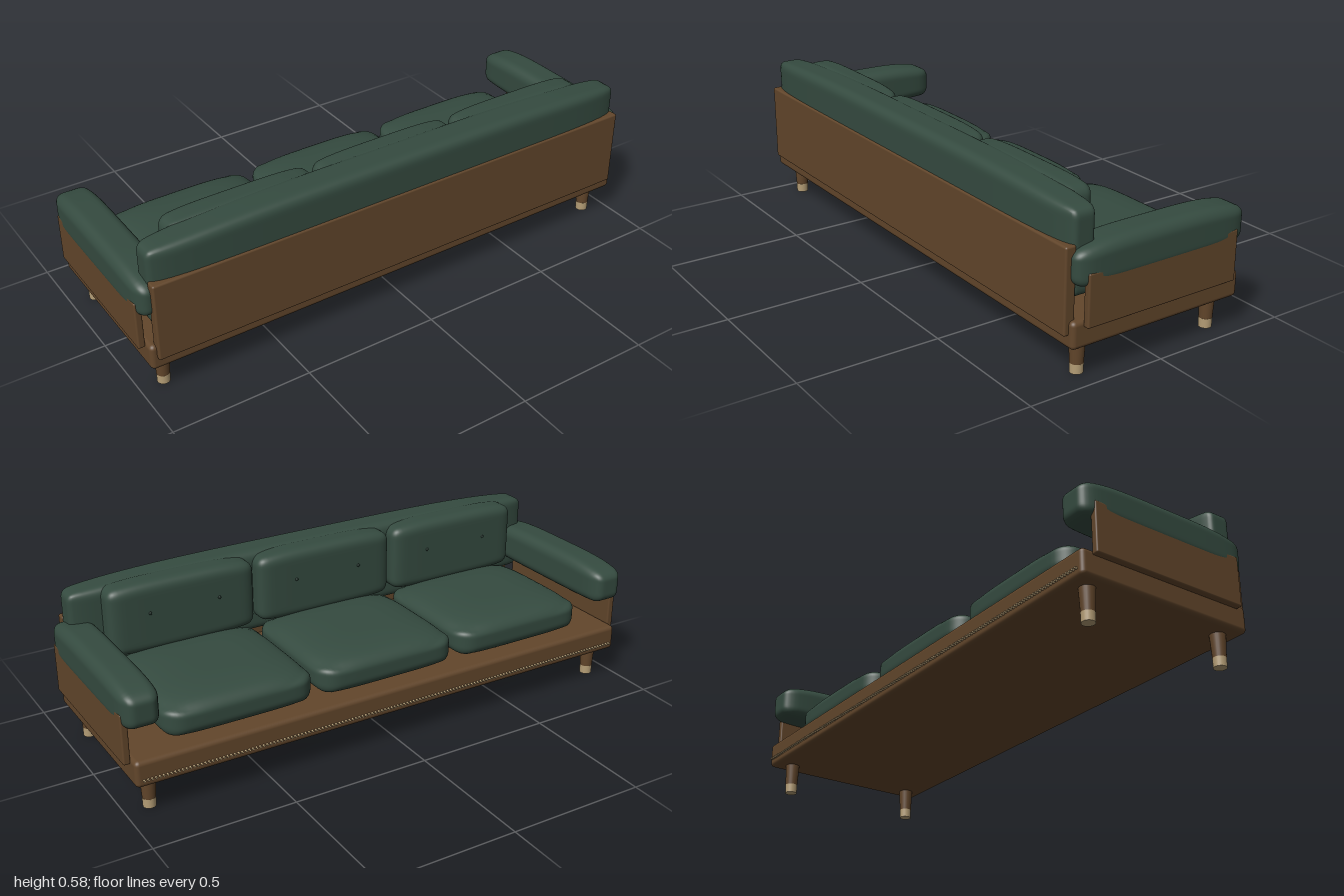
import * as THREE from 'three';
import { RoundedBoxGeometry } from 'three/addons/geometries/RoundedBoxGeometry.js';
import { mergeVertices } from 'three/addons/utils/BufferGeometryUtils.js';

const material = (name, color) => {
  const m = new THREE.MeshStandardMaterial({ color });
  m.name = name;
  return m;
};

// Soft rounded box: edge radius r, top and bottom sinking towards the ends
// (crown, under), and the corners drawn in when seen from above (pinch)
function cushionGeometry(w, h, d, r, crown, under, pinch, n = 26) {
  const geo = new THREE.BoxGeometry(2, 2, 2, n, n, n);
  geo.deleteAttribute('uv');
  geo.deleteAttribute('normal');
  const pos = geo.attributes.position;
  const half = new THREE.Vector3(w / 2, h / 2, d / 2);
  const core = half.clone().subScalar(r);
  const p = new THREE.Vector3(), q = new THREE.Vector3();
  // a narrow cushion sinks along its length only
  const alongX = Math.min(1, w / d), alongZ = Math.min(1, d / w);
  // crowd the rows near the rim, where the surface turns
  const ease = t => Math.sign(t) * (1 - (1 - Math.abs(t)) ** 2);
  for (let i = 0; i < pos.count; i++) {
    p.fromBufferAttribute(pos, i);
    p.set(ease(p.x), ease(p.y), ease(p.z)).multiply(half);
    q.copy(p).clamp(core.clone().negate(), core);
    p.sub(q).setLength(r).add(q);
    const u = p.x / half.x, t = p.y / half.y, v = p.z / half.z;
    const sink = Math.min(1, alongX * u ** 4 + alongZ * v ** 4);
    p.y -= (t > 0 ? crown : under) * sink * t;
    p.x -= pinch * u * v ** 10;
    p.z -= pinch * v * u ** 10;
    pos.setXYZ(i, p.x, p.y, p.z);
  }
  const merged = mergeVertices(geo, 1e-5);
  merged.computeVertexNormals();
  return merged;
}

export function createModel() {
  const sofa = new THREE.Group();
  sofa.name = 'sofa';
  const fabric = material('green fabric', 0x354b40);
  const button = material('dark button', 0x24352d);
  const wood = material('walnut', 0x62462b);
  const brass = material('brass', 0xb59e76);

  const add = (name, geo, mat, x, y, z) => {
    const mesh = new THREE.Mesh(geo, mat);
    mesh.name = name;
    mesh.position.set(x, y, z);
    sofa.add(mesh);
    return mesh;
  };
  // Parts given by their lower and upper limits
  const board = (name, x0, x1, y0, y1, z0, z1, r) =>
    add(name, new RoundedBoxGeometry(x1 - x0, y1 - y0, z1 - z0, 3, r), wood,
      (x0 + x1) / 2, (y0 + y1) / 2, (z0 + z1) / 2);
  const cushion = (name, x0, x1, y0, y1, z0, z1, ...softness) =>
    add(name, cushionGeometry(x1 - x0, y1 - y0, z1 - z0, ...softness), fabric,
      (x0 + x1) / 2, (y0 + y1) / 2, (z0 + z1) / 2);

  // Wooden frame
  board('base', -0.976, 0.976, 0.113, 0.207, -0.338, 0.333, 0.016);
  board('backPanel', -0.955, 0.955, 0.158, 0.446, 0.31, 0.349, 0.007);

  // Long bolster along the back
  cushion('backBolster', -0.953, 0.953, 0.268, 0.577, 0.213, 0.343, 0.032, 0.025, 0, 0.018);

  // Three seat and back cushions, each back with two buttons
  const buttonGeo = new THREE.SphereGeometry(0.006, 12, 8);
  buttonGeo.scale(1, 1, 0.6);
  for (const x of [-0.568, 0, 0.568]) {
    cushion('seatCushion', x - 0.275, x + 0.275, 0.205, 0.342, -0.292, 0.21, 0.045, 0.028, 0.01, 0.018);
    cushion('backCushion', x - 0.275, x + 0.275, 0.315, 0.574, 0.149, 0.26, 0.034, 0.014, 0.01, 0.008);
    for (const s of [-1, 1]) add('backButton', buttonGeo, button, x + s * 0.13, 0.465, 0.146);
  }

  // Arms and legs, mirrored
  const legGeo = new THREE.CylinderGeometry(0.027, 0.0225, 0.085, 24);
  const capGeo = new THREE.CylinderGeometry(0.0228, 0.0222, 0.033, 24);
  for (const s of [-1, 1]) {
    const panel = board('armPanel', 0.974, 0.999, 0.187, 0.365, -0.299, 0.294, 0.006);
    panel.position.x *= s;
    const pad = cushion('armCushion', 0.865, 1, 0.311, 0.453, -0.339, 0.329, 0.036, 0.026, 0.006, 0.012);
    pad.position.x *= s;
    for (const z of [-0.269, 0.264]) {
      add('leg', legGeo, wood, s * 0.912, 0.0755, z);
      add('legCap', capGeo, brass, s * 0.912, 0.0165, z);
    }
  }

  // Close row of small studs along the seat side of the base
  const studGeo = new THREE.CylinderGeometry(0.004, 0.004, 0.012, 8);
  studGeo.rotateX(Math.PI / 2);
  const count = 146;
  for (let i = 0; i < count; i++) {
    add('stud', studGeo, brass, -0.95 + (1.9 * i) / (count - 1), 0.141, -0.341);
  }
  return sofa;
}
